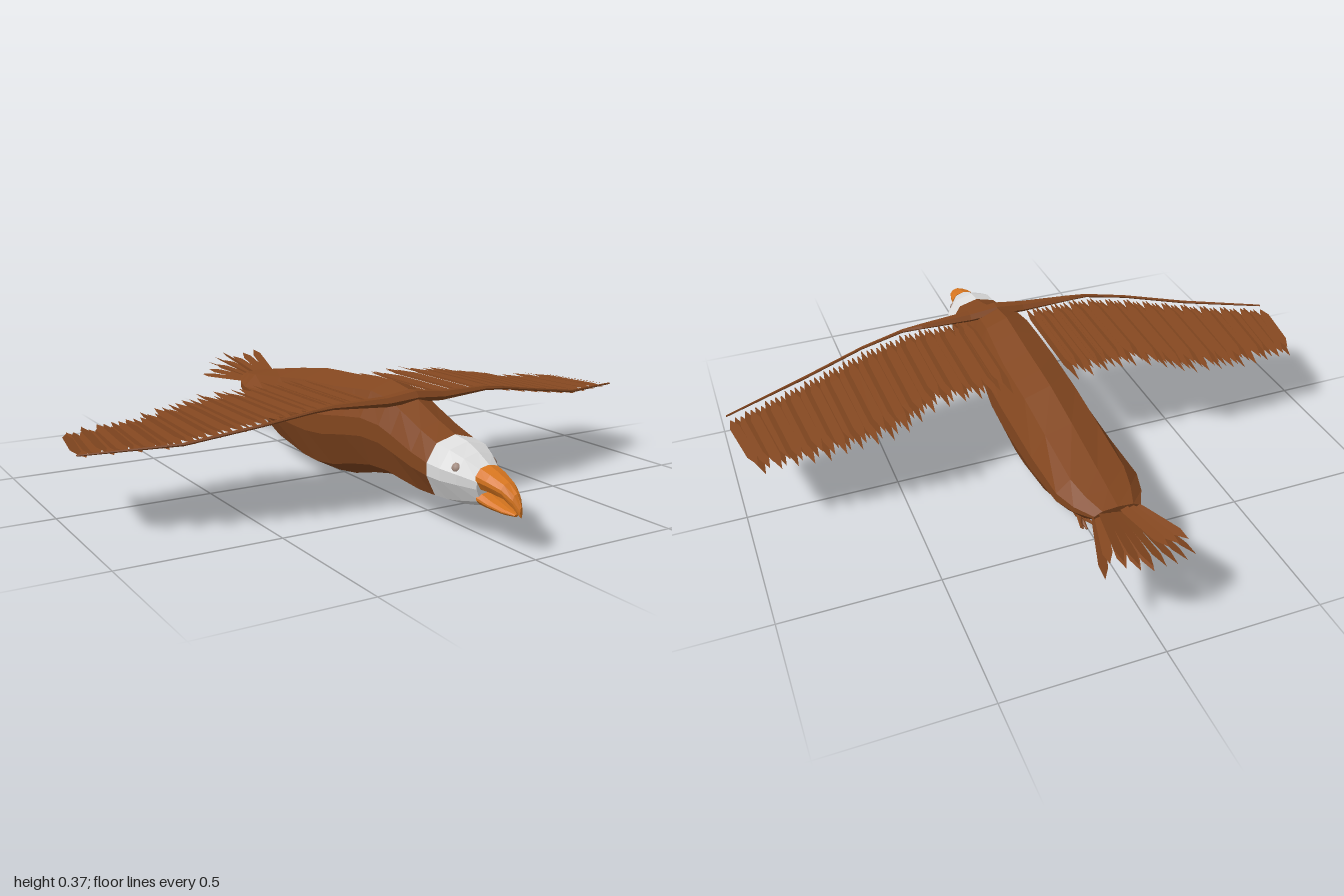
import * as THREE from 'three';

const V = (x, y, z) => new THREE.Vector3(x, y, z);
const mat = (name, color) => {
  const m = new THREE.MeshStandardMaterial({ color, side: THREE.DoubleSide });
  m.name = name;
  return m;
};

// Flat-faced geometry from a list of triangle corner points
function fromTriangles(points) {
  const g = new THREE.BufferGeometry().setFromPoints(points);
  g.computeVertexNormals();
  return g;
}

// Skin a row of equal-length rings and close both ends
function loft(rings) {
  const out = [], n = rings[0].length, last = rings[rings.length - 1];
  for (let i = 0; i < rings.length - 1; i++) {
    for (let j = 0; j < n; j++) {
      const k = (j + 1) % n;
      const a = rings[i][j], b = rings[i][k], c = rings[i + 1][k], d = rings[i + 1][j];
      out.push(a, b, c, a, c, d);
    }
  }
  for (let j = 1; j < n - 1; j++) {
    out.push(rings[0][0], rings[0][j + 1], rings[0][j]);
    out.push(last[0], last[j], last[j + 1]);
  }
  return fromTriangles(out);
}

// Body cross-section: [fraction of half width, fraction of height]
const SECTION = [[1, 0.45], [1, 0.64], [0.66, 0.91], [0, 1], [-0.66, 0.91],
  [-1, 0.64], [-1, 0.45], [-0.68, 0.13], [0, 0], [0.68, 0.13]];
const bodyLoft = (rows) => loft(rows.map(([z, bottom, top, w]) =>
  SECTION.map(([u, v]) => V(u * w, bottom + v * (top - bottom), z))));

// Linear lookup in rows of [key, values...]
function lookup(rows, x, col) {
  let i = 0;
  while (i < rows.length - 2 && x > rows[i + 1][0]) i++;
  const t = (x - rows[i][0]) / (rows[i + 1][0] - rows[i][0]);
  return THREE.MathUtils.lerp(rows[i][col], rows[i + 1][col], t);
}

// Pointed flat feather between two points, as triangles
function feather(a, b, w, startW, tilt = 0) {
  const dir = b.clone().sub(a);
  const side = V(dir.z, 0, -dir.x).normalize().multiplyScalar(w);
  side.y = tilt;
  const at = (t, s, k) => a.clone().addScaledVector(dir, t).addScaledVector(side, s * k);
  const l0 = at(0, -1, startW), r0 = at(0, 1, startW);
  const l1 = at(0.16, -1, 1), r1 = at(0.16, 1, 1), l2 = at(0.8, -1, 1), r2 = at(0.8, 1, 1);
  return [l0, l1, r0, r0, l1, r1, l1, l2, r1, r1, l2, r2, l2, b, r2];
}

// Wing stations: x, height, leading edge z, trailing edge z
const WING = [[0.1, 0.335, 0.41, -0.09], [0.3, 0.338, 0.405, -0.09], [0.36, 0.33, 0.405, -0.08],
  [0.5, 0.306, 0.39, -0.15], [0.75, 0.263, 0.325, -0.13], [1, 0.248, 0.225, -0.1]];

function wingFeathers(s) {
  const tris = [], count = 50;
  for (let i = 0; i < count; i++) {
    const x = 0.115 + 0.87 * i / (count - 1);
    const y = lookup(WING, x, 1) - 0.006 + 0.005 * ((i * 7) % 4 - 1.5) / 2;
    const front = lookup(WING, x, 2) - 0.015 - 0.012 * (i % 2);
    const back = lookup(WING, x, 3) + 0.045 * ((i * 5) % 3) / 2;
    const endX = x - 0.045 * Math.max(0, (x - 0.35) / 0.65);
    tris.push(...feather(V(s * x, y, front), V(s * endX, y - 0.004, back), 0.0155, 0.1,
      (i % 2 ? 1 : -1) * 0.003));
  }
  return fromTriangles(tris);
}

// Arm along the leading edge: x, y, z, half depth, half thickness
const ARM = [[0, 0.345, 0.41, 0.035, 0.02], [0.1, 0.336, 0.41, 0.028, 0.016],
  [0.28, 0.338, 0.4, 0.015, 0.008], [0.35, 0.332, 0.404, 0.007, 0.006],
  [0.5, 0.307, 0.386, 0.006, 0.005], [0.72, 0.268, 0.33, 0.006, 0.005], [0.995, 0.25, 0.228, 0.004, 0.003]];

function wingArm(s) {
  return loft(ARM.map(([x, y, z, dz, dy]) => {
    const ring = [0, 1, 2, 3, 4, 5].map((k) => {
      const a = k * Math.PI / 3;
      return V(s * x, y + dy * Math.sin(a), z - dz * Math.cos(a));
    });
    return s > 0 ? ring : ring.reverse();
  }));
}

// Tapered rod between two points
function rod(a, b, r0, r1) {
  const d = b.clone().sub(a);
  const g = new THREE.CylinderGeometry(r1, r0, d.length(), 6).toNonIndexed();
  g.applyQuaternion(new THREE.Quaternion().setFromUnitVectors(V(0, 1, 0), d.normalize()));
  const mid = a.clone().add(b).multiplyScalar(0.5);
  g.translate(mid.x, mid.y, mid.z);
  g.computeVertexNormals();
  return g;
}

export function createModel() {
  const model = new THREE.Group();
  model.name = 'flyingBird';
  const brown = mat('brown plumage', 0x82461f);
  const white = mat('pale head', 0xdcdcdc);
  const orange = mat('orange beak', 0xd8761f);
  const grey = mat('eye grey', 0x9c8478);
  const add = (parent, name, geometry, material) => {
    const m = new THREE.Mesh(geometry, material);
    m.name = name;
    parent.add(m);
    return m;
  };

  // Body, back to front: z, bottom, top, half width
  add(model, 'body', bodyLoft([
    [-0.65, 0.21, 0.255, 0.075], [-0.58, 0.165, 0.268, 0.11], [-0.5, 0.13, 0.283, 0.133],
    [-0.3, 0.045, 0.318, 0.135], [-0.12, 0.008, 0.346, 0.135], [-0.03, 0.003, 0.352, 0.135],
    [0.08, 0.018, 0.358, 0.135], [0.2, 0.05, 0.368, 0.125], [0.29, 0.068, 0.375, 0.115],
    [0.38, 0.072, 0.362, 0.105], [0.44, 0.066, 0.338, 0.1], [0.55, 0.063, 0.295, 0.1],
    [0.63, 0.07, 0.27, 0.1],
  ]), brown);

  // Head and beak
  add(model, 'head', bodyLoft([
    [0.63, 0.07, 0.27, 0.1], [0.69, 0.075, 0.262, 0.097], [0.74, 0.085, 0.243, 0.075], [0.795, 0.1, 0.215, 0.045],
  ]), white);
  add(model, 'upperBeak', bodyLoft([
    [0.79, 0.14, 0.217, 0.046], [0.83, 0.142, 0.206, 0.041], [0.88, 0.137, 0.188, 0.028],
    [0.915, 0.115, 0.165, 0.015], [0.935, 0.1, 0.132, 0.004],
  ]), orange);
  add(model, 'lowerBeak', bodyLoft([
    [0.79, 0.1, 0.142, 0.042], [0.83, 0.097, 0.127, 0.034], [0.88, 0.096, 0.114, 0.022], [0.915, 0.099, 0.106, 0.006],
  ]), orange);

  for (const s of [1, -1]) {
    const side = s > 0 ? 'left' : 'right';

    // Eye
    const eye = add(model, side + 'Eye', new THREE.SphereGeometry(0.014, 8, 6), grey);
    eye.position.set(s * 0.068, 0.204, 0.728);
    eye.scale.z = 0.45;
    eye.lookAt(s * 0.818, 0.704, 1.128);

    // Wing
    const wing = new THREE.Group();
    wing.name = side + 'Wing';
    add(wing, 'wingArm', wingArm(s), brown);
    add(wing, 'wingFeathers', wingFeathers(s), brown);
    model.add(wing);

    // Foot tucked back under the tail
    const foot = new THREE.Group();
    foot.name = side + 'Foot';
    const x = s * 0.055, ankle = V(x, 0.122, -0.5);
    add(foot, 'leg', rod(V(x, 0.145, -0.38), ankle, 0.024, 0.013), brown);
    for (const [dx, y, z] of [[-0.022, 0.13, -0.57], [0.022, 0.13, -0.565], [0, 0.112, -0.56], [0, 0.088, -0.53]]) {
      add(foot, 'toe', rod(ankle, V(x + dx, y, z), 0.011, 0.003), brown);
    }
    model.add(foot);
  }

  // Tail fan
  const tail = [];
  for (let i = 0; i < 15; i++) {
    const u = i / 7 - 1, v = ((i * 4) % 7) / 6;
    const end = V(u * 0.14, 0.215 + 0.075 * v, -0.925 + 0.05 * u * u + 0.03 * (i % 2));
    tail.push(...feather(V(u * 0.062, 0.225 + 0.015 * v, -0.63), end, 0.014, 0.7, (i % 2 ? 1 : -1) * 0.004));
  }
  add(model, 'tailFeathers', fromTriangles(tail), brown);
  return model;
}
